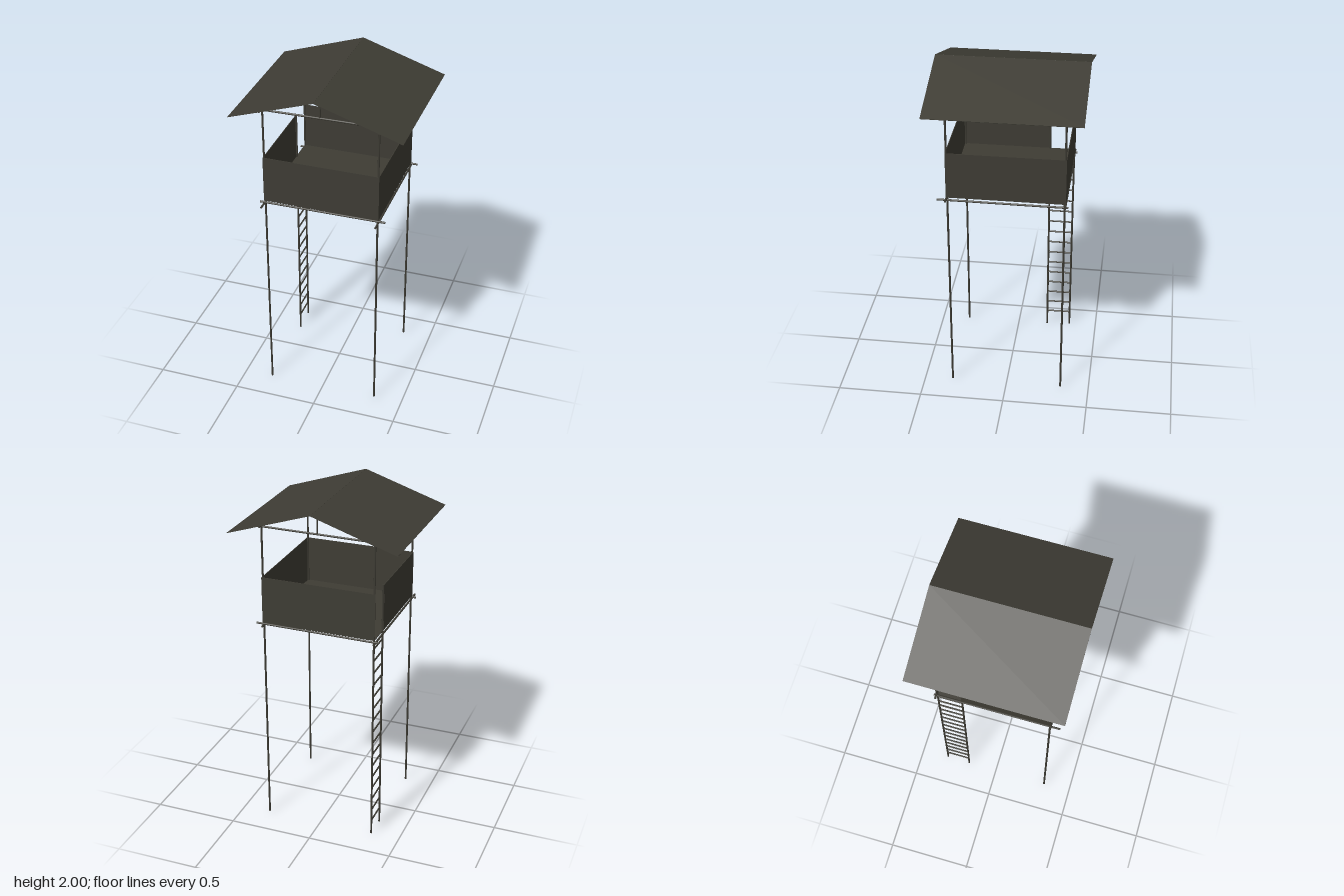
import * as THREE from 'three';

export function createModel() {
  const model = new THREE.Group();
  model.name = 'watchtower';
  const wood = new THREE.MeshStandardMaterial({ color: 0x3e3c34 });
  wood.name = 'weathered dark wood';

  // Round pole between two points
  function pole(name, a, b, r = 0.006) {
    const start = new THREE.Vector3(...a), end = new THREE.Vector3(...b);
    const dir = end.clone().sub(start);
    const mesh = new THREE.Mesh(new THREE.CylinderGeometry(r, r, dir.length(), 8), wood);
    mesh.position.copy(start).add(end).multiplyScalar(0.5);
    mesh.quaternion.setFromUnitVectors(new THREE.Vector3(0, 1, 0), dir.normalize());
    mesh.name = name;
    model.add(mesh);
  }

  // Thin board panel
  function panel(name, size, pos, tilt = 0) {
    const mesh = new THREE.Mesh(new THREE.BoxGeometry(...size), wood);
    mesh.position.set(...pos);
    mesh.rotation.z = tilt;
    mesh.name = name;
    model.add(mesh);
  }

  const P = 0.33; // post offset from the centre
  const W = 0.335; // wall offset

  // Corner posts
  for (const x of [-P, P])
    for (const z of [-P, P]) pole('cornerPost', [x, x < 0 && z > 0 ? 0 : 0.01, z], [x, 1.865, z]);

  // Platform floor and the poles that carry it
  panel('floor', [0.67, 0.004, 0.67], [0, 1.286, 0]);
  for (const s of [-1, 1]) {
    pole('floorCrossBeam', [-0.36, 1.274, s * 0.335], [0.375, 1.279, s * 0.335]);
    pole('floorSideBeam', [s * 0.335, 1.265, -0.35], [s * 0.335, 1.269, 0.39]);
  }

  // Parapet walls, with a gap on one side for the ladder
  const wallY = 1.424, wallH = 0.276, t = 0.004;
  panel('frontWall', [2 * W + t, wallH, t], [0, wallY, W]);
  panel('backWall', [2 * W + t, wallH, t], [0, wallY, -W]);
  panel('leftWall', [t, wallH, 2 * W], [W, wallY, 0]);
  panel('rightWall', [t, wallH, W + 0.185], [-W, wallY, (W - 0.185) / 2]);

  // Ladder sharing the back corner post
  pole('ladderRail', [-P, 0, -0.185], [-P, 1.56, -0.185]);
  for (let i = 0; i < 16; i++) {
    const y = 0.1 + i * 0.0754;
    pole('ladderRung', [-P, y, -P], [-P, y, -0.185], 0.005);
  }

  // Roof frame: tie beams, king posts, rafters, plates and ridge
  const slope = Math.atan2(0.16, 0.49);
  for (const s of [-1, 1]) {
    const z = s * P;
    pole('tieBeam', [-0.36, 1.858, z], [0.385, 1.863, z]);
    pole('kingPost', [0, 1.86, z], [0, 1.985, z], 0.005);
    pole('wallPlate', [s * P, 1.868, -0.36], [s * P, 1.868, 0.38]);
    for (const side of [-1, 1]) pole('rafter', [0, 1.989, z], [side * 0.45, 1.844, z]);
  }
  pole('ridgePole', [0, 1.985, -0.36], [0, 1.985, 0.36], 0.005);

  // Two thin roof slopes
  for (const s of [-1, 1])
    panel('roofSlope', [Math.hypot(0.49, 0.16), 0.002, 0.87], [s * 0.245, 1.919, 0], -s * slope);

  return model;
}
